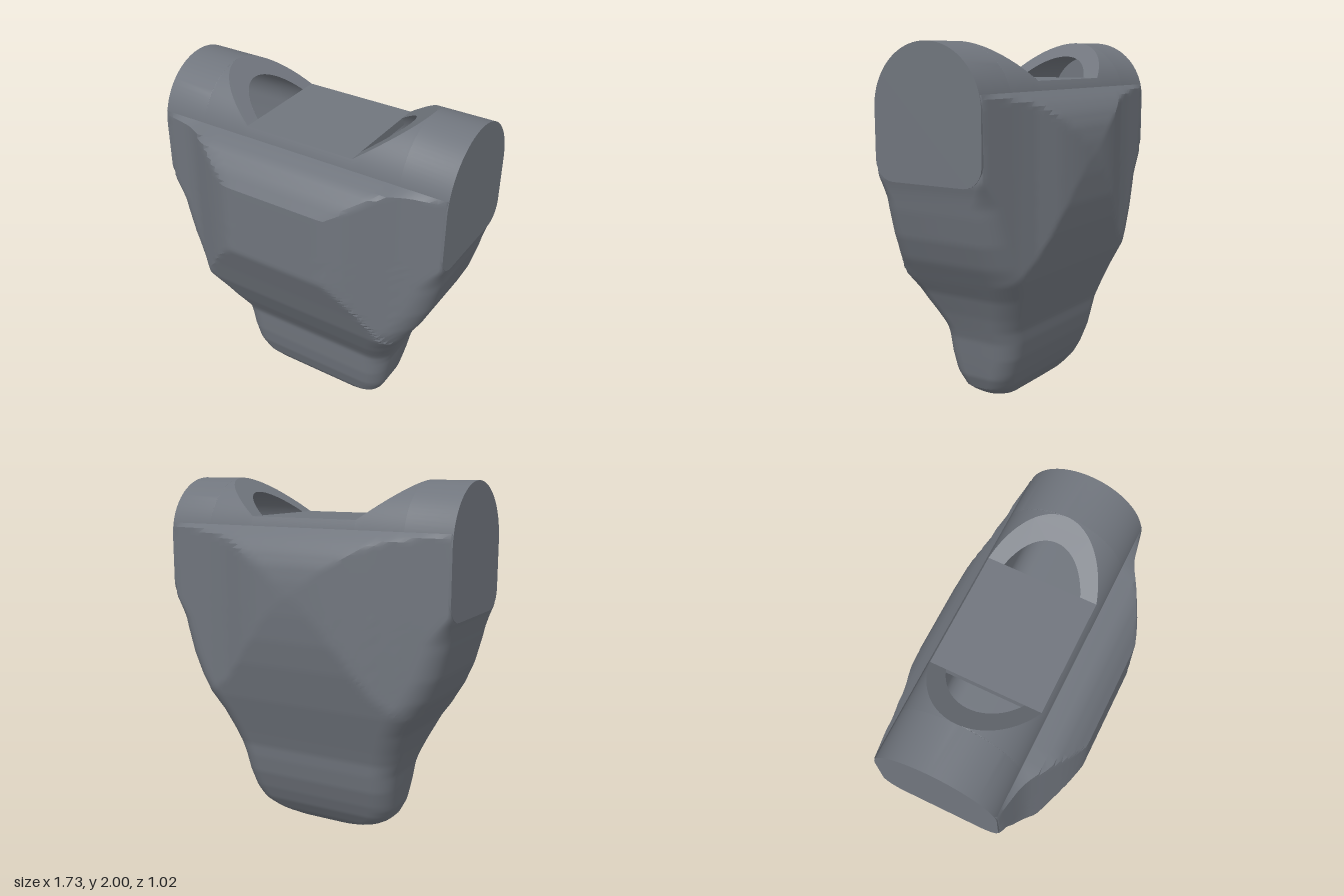
import * as THREE from 'three';
import { toCreasedNormals } from 'three/addons/utils/BufferGeometryUtils.js';

const MAT = new THREE.MeshStandardMaterial({ color: 0x70757d, side: THREE.DoubleSide });
const AXIS_Y = 1.67, AXIS_Z = -0.045;      // centre of the barrel
const SEAT_Y = 1.8, SEAT_X = 0.32;         // flat between the two slopes
const OUTER = 0.33, INNER = 0.25, END_X = 0.865;

// piecewise linear lookup in [[key, value], ...]
function look(table, k) {
  if (k <= table[0][0]) return table[0][1];
  for (let i = 1; i < table.length; i++) {
    const [a, va] = table[i - 1], [b, vb] = table[i];
    if (k <= b) return va + (vb - va) * (k - a) / (b - a);
  }
  return table[table.length - 1][1];
}

// skin a list of equal-length cross-sections
function loft(rows, crease) {
  const n = rows[0].length, index = [];
  for (let i = 0; i < rows.length - 1; i++) {
    for (let j = 0; j < n - 1; j++) {
      const a = i * n + j, b = a + 1, c = a + n, d = c + 1;
      index.push(a, b, d, a, d, c);
    }
  }
  const geo = new THREE.BufferGeometry();
  geo.setAttribute('position', new THREE.Float32BufferAttribute(rows.flat(2), 3));
  geo.setIndex(index);
  return toCreasedNormals(geo, crease);
}

function add(group, name, geo) {
  const mesh = new THREE.Mesh(geo, MAT);
  mesh.name = name;
  group.add(mesh);
  return mesh;
}

// body outlines against height
const WIDTH = [[0, 0.02], [0.006, 0.13], [0.015, 0.21], [0.03, 0.29], [0.05, 0.35], [0.075, 0.39],
  [0.1, 0.42], [0.17, 0.452], [0.25, 0.467], [0.4, 0.493], [0.55, 0.548], [0.67, 0.6], [0.78, 0.67],
  [0.87, 0.727], [1, 0.783], [1.15, 0.823], [1.26, 0.845], [1.32, 0.862]];
const FRONT = [[0, -0.03], [0.015, 0.025], [0.05, 0.07], [0.1, 0.105], [0.2, 0.142], [0.3, 0.16],
  [0.4, 0.167], [0.45, 0.17], [0.49, 0.19], [0.6, 0.26], [0.78, 0.36], [0.95, 0.425], [1.16, 0.512],
  [1.56, 0.512], [1.64, 0.465], [1.71, 0.405], [1.735, 0.35], [1.75, 0.284]];
const BACK = [[0, 0.06], [0.01, 0.1], [0.05, 0.15], [0.12, 0.2], [0.2, 0.237], [0.3, 0.272],
  [0.4, 0.292], [0.47, 0.3], [0.55, 0.325], [0.78, 0.402], [1, 0.46], [1.15, 0.49], [1.3, 0.508],
  [1.4, 0.515], [1.48, 0.51], [1.56, 0.497], [1.63, 0.47], [1.69, 0.43], [1.72, 0.4], [1.75, 0.37]];
// body outlines against distance from the middle
const FRONT_PLAN = [[0, 0.51], [0.3, 0.51], [0.37, 0.485], [0.44, 0.452], [0.54, 0.395], [0.64, 0.335],
  [0.7, 0.316], [0.865, 0.284]];
const BACK_PLAN = [[0, 0.515], [0.1, 0.511], [0.2, 0.499], [0.3, 0.48], [0.4, 0.45], [0.46, 0.43],
  [0.6, 0.406], [0.865, 0.374]];
const CORNER = [[0, 0.1], [0.3, 0.11], [0.8, 0.14], [1.2, 0.1], [1.34, 0.02], [1.75, 0.01]];

// bulged body tapering to a rounded foot: the plan and side outlines cut each other
function bodyGeometry() {
  const rows = [], half = 22;
  for (let i = 0; i <= 100; i++) {
    const y = 1.75 * Math.pow(i / 100, 1.35);
    const w = look(WIDTH, y), f = look(FRONT, y), b = look(BACK, y);
    const r = Math.min(look(CORNER, y), w, (f + b) * 0.48);
    const xs = [];
    for (let k = 0; k < half; k++) xs.push((w - r) * k / half);
    for (let k = 0; k <= 6; k++) xs.push(w - r + r * Math.sin(k / 6 * Math.PI / 2));
    const across = [...xs.slice(1).reverse().map(x => -x), ...xs];
    const round = x => {
      const t = Math.min(1, Math.max(0, (Math.abs(x) - w + r) / r));
      return r * (1 - Math.sqrt(1 - t * t));
    };
    const front = across.map(x => [x, y, Math.min(f, look(FRONT_PLAN, Math.abs(x))) - round(x)]);
    const back = across.map(x => [-x, y, -Math.min(b, look(BACK_PLAN, Math.abs(x))) + round(x)]);
    rows.push([...front, ...back, front[0]]);
  }
  return loft(rows, 0.4);
}

// where the sloped cut meets a barrel surface of the given radius
const cutHalfWidth = R => Math.sqrt(R * R - (SEAT_Y - AXIS_Y) ** 2);
const cutX = (R, w) => SEAT_X + (AXIS_Y + Math.sqrt(R * R - w * w) - SEAT_Y) * 1.4;
const cutHeight = x => SEAT_Y + Math.max(0, Math.abs(x) - SEAT_X) / 1.4;

// barrel section at x: round top trimmed by the cut, straight sides, rounded floor
function barrelSection(R, x, sideY, corner) {
  const a0 = Math.acos(Math.min(1, (cutHeight(x) - AXIS_Y) / R)), side = [];
  for (let k = 0; k <= 20; k++) {
    const a = a0 + (Math.PI / 2 - a0) * k / 20;
    side.push([R * Math.sin(a), AXIS_Y + R * Math.cos(a)]);
  }
  for (let k = 0; k <= 6; k++) {
    const a = k / 6 * Math.PI / 2;
    side.push([R - corner + corner * Math.cos(a), sideY - corner * Math.sin(a)]);
  }
  return [...side.map(([z, y]) => [x, y, AXIS_Z + z]),
    ...side.reverse().map(([z, y]) => [x, y, AXIS_Z - z])];
}

function barrelSkin(R, endX, sideY, corner) {
  const xs = [];
  for (let k = 0; k <= 16; k++) xs.push(cutX(R, cutHalfWidth(R) * (1 - k / 16)));
  xs.push(endX);
  const all = [...xs.slice().reverse().map(x => -x), ...xs];
  return loft(all.map(x => barrelSection(R, x, sideY, corner)), 0.5);
}

function endCap(R, x, sideY, corner) {
  const pts = barrelSection(R, x, sideY, corner).map(p => new THREE.Vector2(-p[2], p[1]));
  return new THREE.ShapeGeometry(new THREE.Shape(pts)).rotateY(Math.PI / 2).translate(x, 0, 0);
}

// crescent rim of the sloped cut around the bore
function slopeRim() {
  const arc = (R, sign) => {
    const out = [], w = cutHalfWidth(R);
    for (let k = -24; k <= 24; k++) {
      const z = sign * w * Math.sin(k / 24 * Math.PI / 2);
      out.push(new THREE.Vector2(cutX(R, Math.abs(z)), z));
    }
    return out;
  };
  const geo = new THREE.ShapeGeometry(new THREE.Shape([...arc(OUTER, 1), ...arc(INNER, -1)]));
  geo.rotateX(-Math.PI / 2);
  const p = geo.attributes.position;
  for (let i = 0; i < p.count; i++) p.setY(i, cutHeight(p.getX(i)));
  geo.translate(0, 0, AXIS_Z);
  geo.computeVertexNormals();
  return geo;
}

export function createModel() {
  const model = new THREE.Group();
  model.name = 'taperedHousing';
  add(model, 'body', bodyGeometry());
  add(model, 'barrel', barrelSkin(OUTER, END_X, 1.41, 0.11));
  add(model, 'bore', barrelSkin(INNER, 0.78, 1.48, 0.1));

  // ends and sloped rims, mirrored by a half turn about the barrel's centre
  for (const side of [1, -1]) {
    const end = new THREE.Group();
    end.name = side > 0 ? 'leftEnd' : 'rightEnd';
    add(end, 'endCap', endCap(OUTER, END_X, 1.41, 0.11));
    add(end, 'boreEnd', endCap(INNER, 0.78, 1.48, 0.1));
    add(end, 'slopeRim', slopeRim());
    if (side < 0) {
      end.rotation.y = Math.PI;
      end.position.z = 2 * AXIS_Z;
    }
    model.add(end);
  }

  // flat bridge between the slopes
  const bridge = new THREE.BoxGeometry(SEAT_X * 2, 0.05, cutHalfWidth(OUTER) * 2);
  add(model, 'bridge', bridge).position.set(0, SEAT_Y - 0.025, AXIS_Z);
  return model;
}
